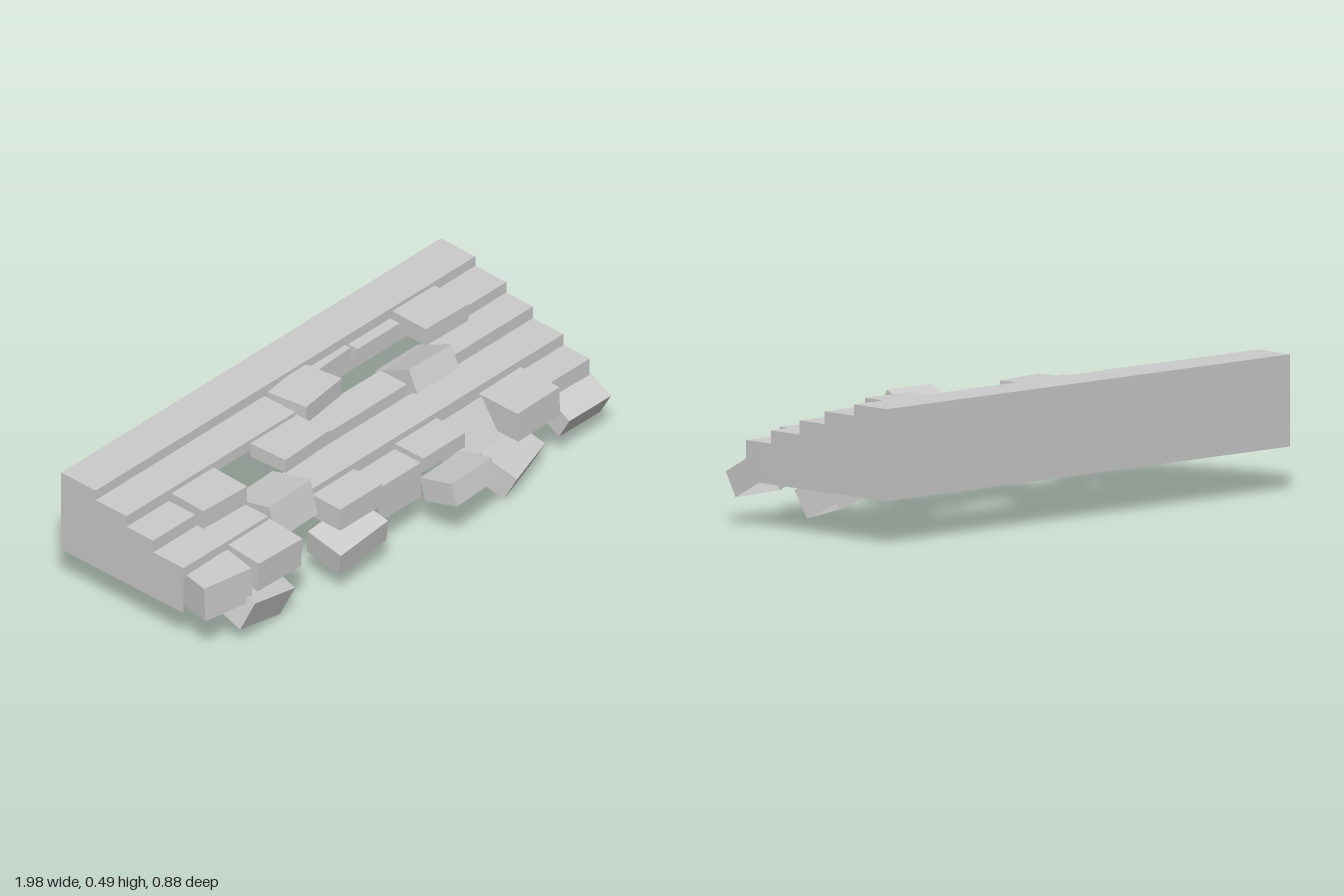
import * as THREE from 'three';
import { mergeGeometries } from 'three/addons/utils/BufferGeometryUtils.js';

const material = new THREE.MeshStandardMaterial({ color: 0xcccccc, flatShading: true, side: THREE.DoubleSide });

const HALF = 0.985, SLOTS = 9, SLOT = (2 * HALF) / SLOTS;
const BACK = -0.44, BASE = 0.163;
// each step: tread height, front edge, and the slots where bricks broke away
const STEPS = [
  { y: 0.49, z: -0.275, gaps: [] },
  { y: 0.45, z: -0.127, gaps: [4, 5, 6, 7] },
  { y: 0.405, z: 0, gaps: [1, 2, 3] },
  { y: 0.355, z: 0.145, gaps: [2] },
  { y: 0.308, z: 0.27, gaps: [0, 1, 2, 3, 5, 6, 7] },
];

// flat panels
function tread(x0, x1, z0, z1, y) {
  return new THREE.PlaneGeometry(x1 - x0, z1 - z0).rotateX(-Math.PI / 2)
    .translate((x0 + x1) / 2, y, (z0 + z1) / 2);
}
function riser(x0, x1, y0, y1, z) {
  return new THREE.PlaneGeometry(x1 - x0, y1 - y0).translate((x0 + x1) / 2, (y0 + y1) / 2, z);
}
function mesh(name, geometry) {
  const m = new THREE.Mesh(geometry, material);
  m.name = name;
  return m;
}

// one step, slot by slot, skipping the broken places
function buildStep(i) {
  const { y, z, gaps } = STEPS[i];
  const z0 = i ? STEPS[i - 1].z : BACK;
  const y0 = i < STEPS.length - 1 ? STEPS[i + 1].y : BASE;
  const parts = [];
  for (let s = 0; s < SLOTS; s++) {
    if (gaps.includes(s)) continue;
    const x0 = -HALF + s * SLOT, x1 = x0 + SLOT;
    parts.push(tread(x0, x1, z0, z, y), riser(x0, x1, y0, y, z));
  }
  return mesh('step' + (i + 1), mergeGeometries(parts));
}

// stepped end wall
function buildEnd(name, x, count) {
  const shape = new THREE.Shape();
  shape.moveTo(-BACK, BASE);
  shape.lineTo(-BACK, STEPS[0].y);
  for (let i = 0; i < count; i++) {
    shape.lineTo(-STEPS[i].z, STEPS[i].y);
    shape.lineTo(-STEPS[i].z, i < count - 1 ? STEPS[i + 1].y : BASE);
  }
  return mesh(name, new THREE.ShapeGeometry(shape).rotateY(Math.PI / 2).translate(x, 0, 0));
}

// hollow brick, open at back and bottom; origin at the middle of its top front edge
function buildBrick([x, y, z, pitch, yaw, roll, h, d, w = 0.218]) {
  const side = (sx) => new THREE.PlaneGeometry(d, h).rotateY(sx * Math.PI / 2)
    .translate(sx * w / 2, -h / 2, -d / 2);
  const brick = mesh('brick', mergeGeometries([
    tread(-w / 2, w / 2, -d, 0, 0),
    riser(-w / 2, w / 2, -h, 0, 0),
    side(1), side(-1),
  ]));
  brick.rotation.set(pitch, yaw, roll, 'YXZ');
  brick.position.set(x, y, z);
  return brick;
}

// x, y, z, pitch, yaw, roll, height, depth, (width)
const LOOSE = {
  upperBricks: [
    [0.02, 0.475, -0.11, 0, 0.14, 0, 0.07, 0.165],
    [0.22, 0.455, -0.245, 0, 0.05, 0, 0.05, 0.12, 0.18],
    [0.44, 0.445, -0.235, 0, 0, 0, 0.05, 0.12],
    [0.66, 0.475, -0.11, 0, -0.02, 0, 0.07, 0.165],
    [0.44, 0.47, 0.01, -0.45, 0, 0, 0.09, 0.18],
  ],
  middleBricks: [
    [-0.65, 0.43, 0.035, 0, -0.04, 0, 0.085, 0.165],
    [-0.215, 0.435, 0.028, 0, 0.05, 0, 0.055, 0.16, 0.24],
    [-0.43, 0.39, 0.14, -0.25, 0, 0.03, 0.135, 0.185],
  ],
  lowerBricks: [
    [-0.89, 0.32, 0.268, 0, -0.2, 0.03, 0.14, 0.14, 0.205],
    [-0.65, 0.33, 0.3, 0.05, -0.03, 0, 0.12, 0.16],
    [-0.21, 0.33, 0.28, 0, 0, 0, 0.09, 0.14],
    [0.22, 0.33, 0.28, 0, 0, 0, 0.06, 0.135],
    [0.22, 0.285, 0.412, -0.25, 0.05, 0, 0.09, 0.15],
    [0.44, 0.175, 0.25, 1.0, 0, 0, 0.08, 0.17],
    [0.655, 0.325, 0.33, 0, 0, 0.02, 0.12, 0.185],
  ],
  fallenBricks: [
    [-0.69, 0.165, 0.31, 0.35, 0, -0.27, 0.125, 0.16, 0.24],
    [-0.265, 0.21, 0.345, 0.2, 0, 0.14, 0.1, 0.16, 0.24],
    [0.6, 0.1, 0.345, 0.48, 0.33, 0, 0.11, 0.19, 0.245],
    [0.885, 0.19, 0.365, 0.5, 0, -0.02, 0.1, 0.17],
  ],
};

export function createModel() {
  const model = new THREE.Group();
  model.name = 'brokenSteps';
  STEPS.forEach((_, i) => model.add(buildStep(i)));

  // outer walls; the underside stays open
  model.add(buildEnd('leftEnd', HALF, 5), buildEnd('rightEnd', -HALF, 4));
  model.add(mesh('backWall', riser(-HALF, HALF, BASE, STEPS[0].y, 0).rotateY(Math.PI).translate(0, 0, BACK)));

  // loose and fallen bricks
  for (const [name, list] of Object.entries(LOOSE)) {
    const group = new THREE.Group();
    group.name = name;
    list.forEach((b) => group.add(buildBrick(b)));
    model.add(group);
  }
  return model;
}
